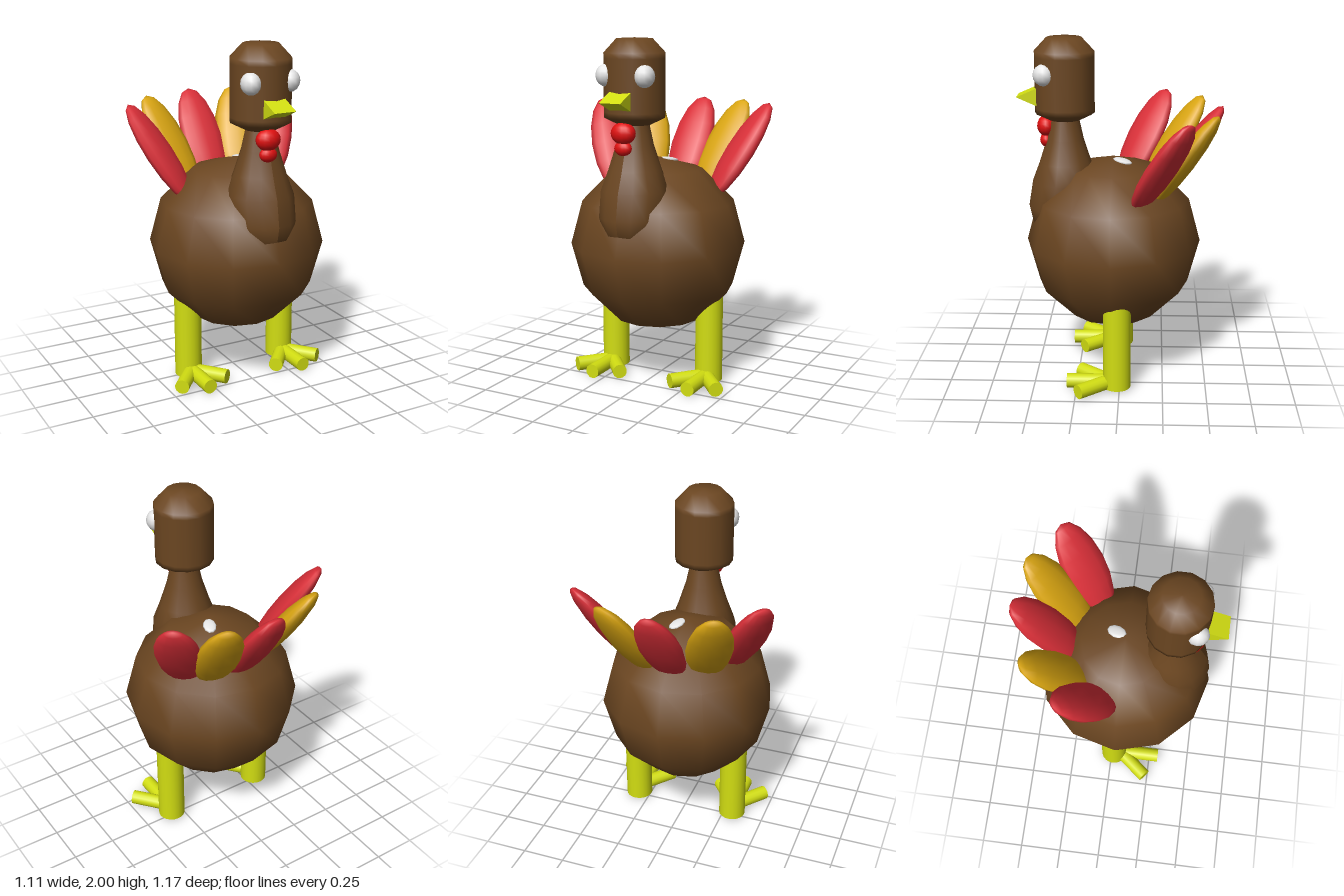
import * as THREE from 'three';

export function createModel() {
  const root = new THREE.Group();
  root.name = 'turkey';

  const mat = (name, color) => {
    const m = new THREE.MeshStandardMaterial({ color });
    m.name = name;
    return m;
  };
  const brown = mat('brown plumage', 0x6b4621);
  const red = mat('feather red', 0xd92f38);
  const gold = mat('feather gold', 0xd9a511);
  const scarlet = mat('wattle scarlet', 0xe01010);
  const lime = mat('leg yellow green', 0xd2de12);
  const white = mat('eye white', 0xe6e6e6);

  const add = (name, geo, material, x, y, z, parent = root) => {
    const m = new THREE.Mesh(geo, material);
    m.name = name;
    m.position.set(x, y, z);
    parent.add(m);
    return m;
  };
  const lathe = (pts) =>
    new THREE.LatheGeometry(pts.map(([r, y]) => new THREE.Vector2(r, y)), 14);

  // Body
  add('body', new THREE.SphereGeometry(0.507, 12, 6), brown, 0, 0.81, 0.045);

  // Neck, with its lower end pushed forward into the breast
  const neckGeo = lathe([
    [0, 0.86], [0.1, 0.88], [0.155, 0.93], [0.19, 1.02], [0.192, 1.17],
    [0.15, 1.28], [0.105, 1.42], [0.075, 1.56],
  ]);
  const p = neckGeo.attributes.position;
  for (let i = 0; i < p.count; i++) {
    p.setZ(i, p.getZ(i) + Math.max(0, 1.17 - p.getY(i)) * 0.18);
  }
  neckGeo.computeVertexNormals();
  add('neck', neckGeo, brown, 0, 0, 0.32);

  // Head
  add('head', lathe([
    [0, 1.53], [0.09, 1.53], [0.17, 1.57], [0.17, 1.6],
    [0.17, 1.89], [0.17, 1.92], [0.1, 1.995], [0, 2.0],
  ]), brown, 0, 0, 0.32);

  // Eyes
  for (const s of [1, -1]) {
    const eye = add(s > 0 ? 'leftEye' : 'rightEye',
      new THREE.SphereGeometry(0.062, 12, 8), white, 0.118 * s, 1.8, 0.425);
    eye.scale.x = 0.9;
  }

  // Wedge beak
  const wedge = new THREE.Shape([[0.44, 1.6], [0.59, 1.665], [0.44, 1.73]]
    .map(([z, y]) => new THREE.Vector2(z, y)));
  const beakGeo = new THREE.ExtrudeGeometry(wedge, { depth: 0.13, bevelEnabled: false });
  beakGeo.rotateY(-Math.PI / 2);
  add('beak', beakGeo, lime, 0.062, 0, 0);

  // Wattle
  add('upperWattle', new THREE.SphereGeometry(0.072, 14, 10), scarlet, -0.012, 1.49, 0.428)
    .scale.set(1, 0.85, 0.75);
  add('lowerWattle', new THREE.SphereGeometry(0.052, 14, 10), scarlet, -0.012, 1.408, 0.43)
    .scale.set(1, 0.8, 0.7);

  // Tail fan: x, z, yaw in degrees, material
  const fan = [
    [0.39, -0.235, 40, red], [0.22, -0.36, 20, gold], [0, -0.39, 0, red],
    [-0.25, -0.305, -24, gold], [-0.4, -0.13, -44, red],
  ];
  const featherGeo = new THREE.SphereGeometry(1, 12, 8);
  featherGeo.scale(0.132, 0.33, 0.06);
  fan.forEach(([x, z, yaw, m], i) => {
    const f = add('tailFeather' + (i + 1), featherGeo, m, x, 1.34, z);
    f.rotation.order = 'YXZ';
    f.rotation.y = -THREE.MathUtils.degToRad(yaw);
    f.rotation.x = -THREE.MathUtils.degToRad(35);
  });

  // Small pale patch on the back
  const patch = add('backPatch', new THREE.SphereGeometry(1, 10, 6), white, 0.045, 1.298, -0.01);
  patch.scale.set(0.038, 0.012, 0.06);
  patch.rotation.set(-0.2, -0.4, -0.12);

  // Legs with three splayed toes each
  for (const s of [1, -1]) {
    const leg = new THREE.Group();
    leg.name = s > 0 ? 'leftLeg' : 'rightLeg';
    leg.position.set(s > 0 ? 0.318 : -0.305, 0, 0.015);
    root.add(leg);
    add('shank', new THREE.CylinderGeometry(0.08, 0.08, 0.64, 20), lime, 0, 0.335, 0, leg);
    for (const k of [-1, 0, 1]) {
      const len = k ? 0.23 : 0.25;
      const geo = new THREE.CylinderGeometry(0.042, 0.042, len, 14);
      geo.translate(0, len / 2, 0);
      geo.rotateX(Math.PI / 2);
      const toe = add('toe', geo, lime, 0, 0.045, 0.04, leg);
      toe.rotation.y = k * 0.69;
    }
  }
  return root;
}
